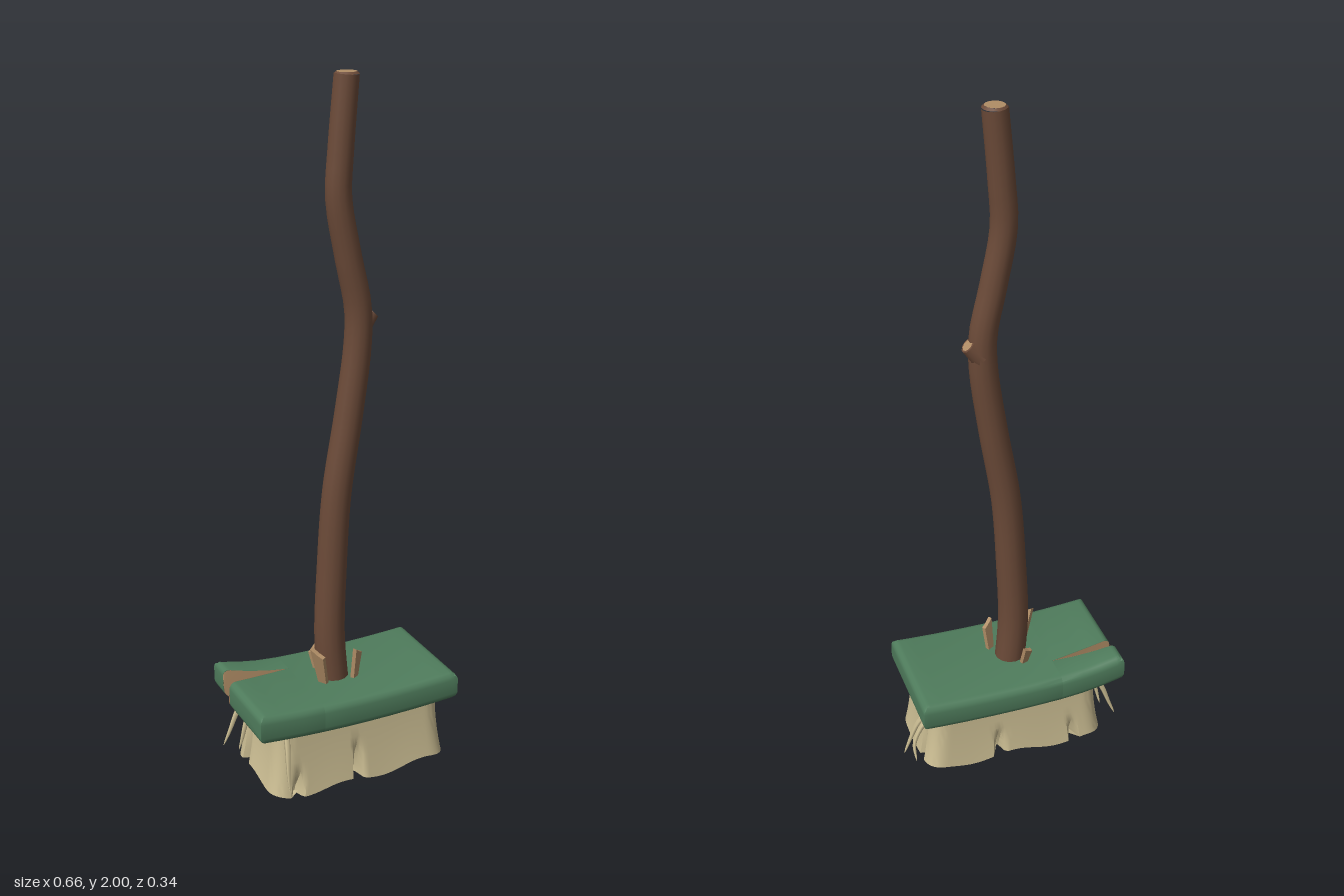
import * as THREE from 'three';
import { toCreasedNormals } from 'three/addons/utils/BufferGeometryUtils.js';

const V = (x, y, z) => new THREE.Vector3(x, y, z);
const clamp = THREE.MathUtils.clamp;
const mat = (name, color) => Object.assign(new THREE.MeshStandardMaterial({ color }), { name });

// Skin a series of closed rings, optionally capping both ends
function loft(rings, crease = 0.6, caps = true) {
  const n = rings[0].length, pos = [], idx = [];
  rings.forEach(r => r.forEach(p => pos.push(p.x, p.y, p.z)));
  for (let i = 0; i < rings.length - 1; i++) for (let j = 0; j < n; j++) {
    const a = i * n + j, b = i * n + (j + 1) % n;
    idx.push(a, b, a + n, b, b + n, a + n);
  }
  if (caps) [0, rings.length - 1].forEach(i => {
    const c = rings[i].reduce((s, p) => s.add(p), V(0, 0, 0)).divideScalar(n);
    const k = pos.length / 3;
    pos.push(c.x, c.y, c.z);
    for (let j = 0; j < n; j++) {
      const a = i * n + j, b = i * n + (j + 1) % n;
      if (i === 0) idx.push(k, b, a); else idx.push(k, a, b);
    }
  });
  const g = new THREE.BufferGeometry();
  g.setAttribute('position', new THREE.Float32BufferAttribute(pos, 3));
  g.setIndex(idx);
  return toCreasedNormals(g, crease);
}

// Tube whose radius follows a rule along its length
function taperedTube(points, radius, segs, sides) {
  const curve = new THREE.CatmullRomCurve3(points.map(p => V(...p)));
  const g = new THREE.TubeGeometry(curve, segs, 1, sides);
  const a = g.attributes.position, v = V(0, 0, 0);
  for (let i = 0; i < a.count; i++) {
    const u = Math.floor(i / (sides + 1)) / segs, c = curve.getPointAt(u);
    v.fromBufferAttribute(a, i).sub(c).multiplyScalar(radius(u)).add(c);
    a.setXYZ(i, v.x, v.y, v.z);
  }
  return g;
}

export function createModel() {
  const green = mat('greenPaint', 0x4f7c5c);
  const bark = mat('bark', 0x6b4a38);
  const wood = mat('bareWood', 0xb08d66);
  const straw = mat('straw', 0xcdbf94);
  const model = new THREE.Group();
  const add = (name, geo, m, parent = model) => {
    const mesh = new THREE.Mesh(geo, m);
    mesh.name = name;
    parent.add(mesh);
    return mesh;
  };

  // Bent block: a full slab plus two prongs either side of the split
  const E = 0.022, L = -0.33, R = 0.29, TIP = -0.135, TZ = -0.08;
  const topY = (x, lift) => 0.29 + (x < 0 ? 0.14 : 0.12) * x * x + (lift && x < TIP ? 0.5 * (x - TIP) ** 2 : 0);
  const endInset = x => {
    const q = clamp(Math.min(x - L, R - x) / E, 0, 1);
    return E * (1 - Math.sqrt(1 - (1 - q) ** 2) === 1 ? 1 : 1 - Math.sqrt(1 - (1 - q) ** 2));
  };
  const blockRing = (x, z0, z1, r0, r1, lift) => {
    const d = endInset(x), t = topY(x, lift), b = t - 0.087, ring = [];
    const corner = (z, s, r, up, rev) => {
      for (let k = 0; k <= 3; k++) {
        const A = (rev ? 3 - k : k) / 3 * Math.PI / 2;
        const dy = Math.max(d, r * (1 - Math.sin(A)));
        ring.push(V(x, up ? t - dy : b + dy, z + s * r * (1 - Math.cos(A))));
      }
    };
    corner(z0, 1, r0, false, true);
    corner(z0, 1, r0, true, false);
    corner(z1, -1, r1, true, true);
    corner(z1, -1, r1, false, false);
    return ring;
  };
  const block = new THREE.Group();
  block.name = 'block';
  model.add(block);
  const slabX = [TIP, -0.06, 0, 0.08, 0.16, 0.23, R - E, R - 0.013, R - 0.005, R - 0.001, R];
  const prongX = [L, L + 0.001, L + 0.005, L + 0.013, L + E, -0.26, -0.2, TIP];
  add('slab', loft(slabX.map(x => blockRing(x, -0.172, 0.17, E, E, false))), green, block);
  const split = x => (TIP - x) / (TIP - L);
  const backZ = x => TZ - 0.025 * split(x), frontZ = x => TZ + 0.025 * split(x);
  add('backProng', loft(prongX.map(x => blockRing(x, -0.172, backZ(x), E, 0.002, true))), green, block);
  add('frontProng', loft(prongX.map(x => blockRing(x, frontZ(x), 0.17, 0.002, E, false))), green, block);

  // Bare wood inside the split
  for (const s of [-1, 1]) {
    const rings = prongX.map(x => {
      const t = topY(x, s < 0), d = endInset(x) + 0.001, z = (s < 0 ? backZ : frontZ)(x);
      return [V(x, t - d, z - s * 0.001), V(x, t - 0.087 + d, z - s * (0.001 + 0.006 * split(x)))];
    });
    add('splitWall', loft(rings, 0.6, false), wood, block);
  }

  // Bristle bundle: flared rounded rectangle with slits and a ragged hem
  const a = 0.258, b = 0.135, r = 0.055;
  const outline = new THREE.Shape();
  outline.moveTo(-a + r, -b).lineTo(a - r, -b).quadraticCurveTo(a, -b, a, -b + r)
    .lineTo(a, b - r).quadraticCurveTo(a, b, a - r, b)
    .lineTo(-a + r, b).quadraticCurveTo(-a, b, -a, b - r)
    .lineTo(-a, -b + r).quadraticCurveTo(-a, -b, -a + r, -b);
  const pts = outline.getSpacedPoints(180).slice(0, -1);
  const slits = [ // x, z, push x, push z, height
    [-0.19, b, 0, -0.05, 0.09], [-0.01, b, 0, -0.06, 0.14], [0.05, -b, 0, 0.06, 0.13],
    [-0.17, -b, 0, 0.05, 0.1], [a, -0.07, -0.06, 0, 0.14], [-a, -0.06, 0.06, 0, 0.15]];
  const hem = (x, z) => 0.021 + 0.009 * Math.sin(x * 27 + 2.2 + z * 6) + 0.006 * Math.sin(z * 30 - x * 8) - 0.025 * z;
  const bristleRing = (v, scale = 1, rise = 0) => pts.map(p => {
    const y = THREE.MathUtils.lerp(0.225, hem(p.x, p.y), v) + rise;
    const flare = 1 + 0.08 * v * v;
    let x = p.x * flare * scale, z = p.y * flare * scale;
    for (const [sx, sz, dx, dz, h] of slits) {
      const w = Math.max(0, 1 - Math.hypot(p.x - sx, p.y - sz) / 0.016) * clamp((h - y) / h * 1.3, 0, 1);
      x += dx * w * scale;
      z += dz * w * scale;
    }
    return V(x, y, z);
  });
  const rows = [0, 0.2, 0.35, 0.5, 0.65, 0.8, 0.92, 1].map(v => bristleRing(v));
  rows.push(bristleRing(1, 0.7, 0.012), bristleRing(1, 0.35, 0.015));
  const bristles = add('bristles', loft(rows, 0.8), straw);
  bristles.position.x = -0.004;

  // Loose straws hanging out from the bundle
  const strands = [
    [[0.25, 0.22, -0.09], [0.285, 0.17, -0.08], [0.31, 0.11, -0.077], [0.328, 0.06, -0.074]],
    [[0.25, 0.22, -0.11], [0.285, 0.18, -0.112], [0.308, 0.13, -0.12], [0.308, 0.08, -0.14]],
    [[-0.26, 0.22, -0.1], [-0.288, 0.17, -0.11], [-0.31, 0.11, -0.115], [-0.328, 0.065, -0.12]],
    [[-0.26, 0.22, -0.06], [-0.282, 0.16, -0.058], [-0.295, 0.1, -0.062], [-0.3, 0.07, -0.07]],
    [[-0.235, 0.22, 0.125], [-0.24, 0.17, 0.145], [-0.245, 0.11, 0.16], [-0.246, 0.05, 0.17]]];
  strands.forEach(s => add('looseStraw', taperedTube(s, u => 0.0095 * Math.sqrt(1 - u) + 0.0004, 10, 5), straw));

  // Crooked stick handle
  const path = [[-0.028, 0.25, 0], [-0.04, 0.42, 0], [-0.033, 0.62, 0], [-0.017, 0.85, 0], [0.02, 1.08, 0],
    [0.047, 1.28, 0], [0.047, 1.38, 0], [0.018, 1.52, 0], [-0.01, 1.68, 0], [-0.004, 1.8, 0], [0.013, 1.994, 0]];
  const handle = new THREE.Group();
  handle.name = 'handle';
  model.add(handle);
  add('stick', taperedTube(path, u => 0.046 - 0.012 * u, 44, 14), bark, handle);
  add('stickRim', new THREE.CylinderGeometry(0.027, 0.034, 0.006, 14, 1, true), bark, handle).position.set(0.013, 1.997, 0);
  const cut = add('stickCut', new THREE.CircleGeometry(0.027, 14), wood, handle);
  cut.rotation.x = -Math.PI / 2;
  cut.position.set(0.013, 2, 0);

  // Stub of a broken twig
  const stub = new THREE.Group();
  stub.name = 'twigStub';
  stub.position.set(0.073, 1.342, -0.005);
  stub.rotation.z = -0.8;
  handle.add(stub);
  add('stubBark', new THREE.CylinderGeometry(0.023, 0.034, 0.05, 10), bark, stub);
  const stubCut = add('stubCut', new THREE.CircleGeometry(0.018, 10), wood, stub);
  stubCut.rotation.x = -Math.PI / 2;
  stubCut.position.y = 0.026;

  // Splinters around the socket: x, z, outward direction, width, height, tilt
  [[-0.068, 0.03, -0.85, 0.5, 0.042, 0.14, 0.27], [-0.052, -0.043, -0.3, -0.9, 0.03, 0.085, 0.3],
    [0.014, 0.036, 0.5, 0.85, 0.034, 0.115, 0.12]].forEach(([x, z, dx, dz, w, h, tilt]) => {
    const s = new THREE.Shape();
    s.moveTo(-w * 0.3, 0).lineTo(w * 0.3, 0).lineTo(w * 0.5, h * 0.82).lineTo(w * 0.1, h * 0.88).lineTo(-w * 0.45, h);
    const g = new THREE.ExtrudeGeometry(s, { depth: 0.012, bevelEnabled: false });
    const m = add('splinter', g, wood);
    m.position.set(x, 0.275, z);
    m.rotation.set(tilt, Math.atan2(dx, dz), 0, 'YXZ');
  });
  return model;
}
